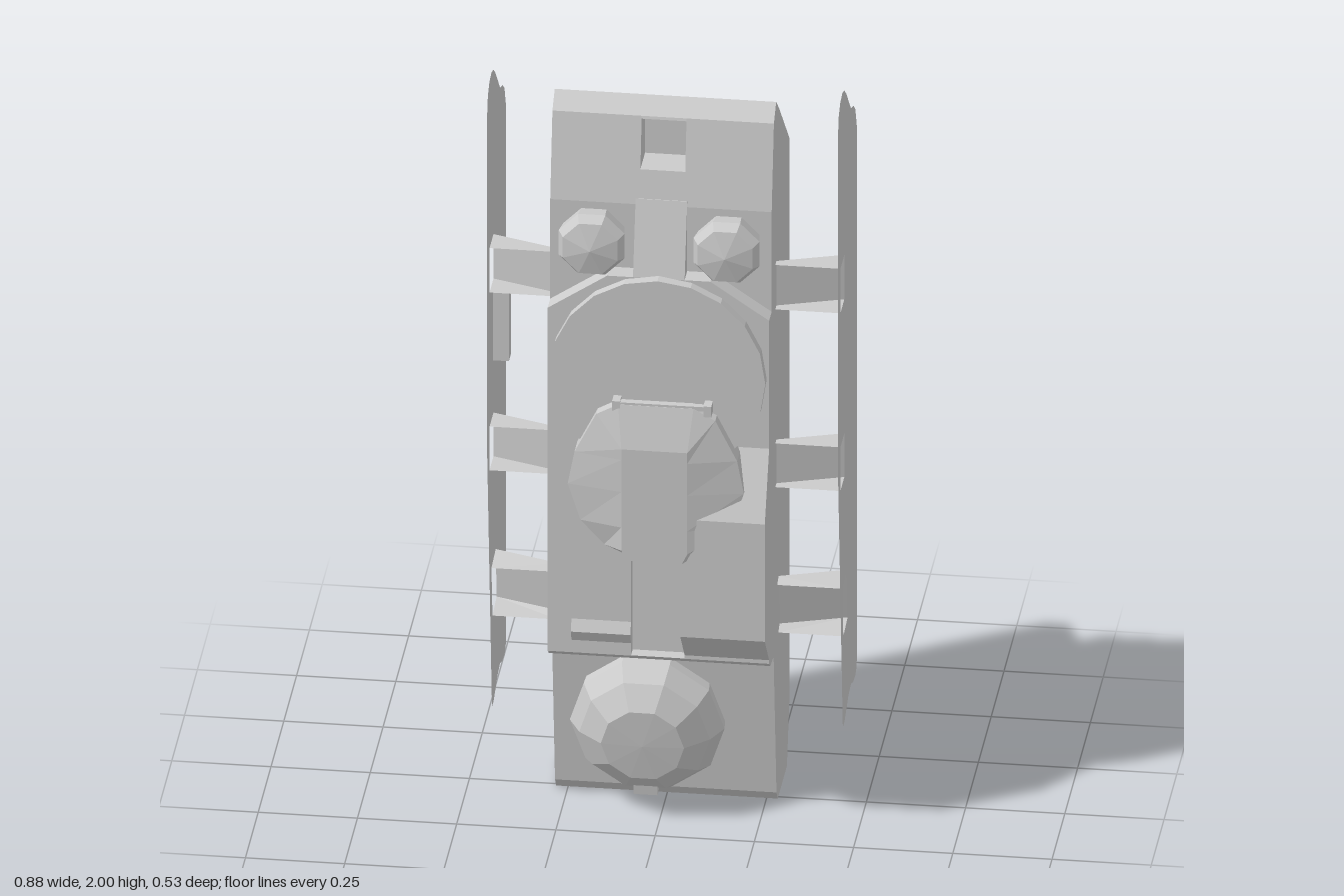
import * as THREE from 'three';

const mat = new THREE.MeshStandardMaterial({ color: 0xcccccc, flatShading: true, side: THREE.DoubleSide });

export function createModel() {
  const model = new THREE.Group();

  const add = (name, geometry, parent = model) => {
    const mesh = new THREE.Mesh(geometry, mat);
    mesh.name = name;
    parent.add(mesh);
    return mesh;
  };
  const shapeOf = pts => new THREE.Shape(pts.map(p => new THREE.Vector2(p[0], p[1])));
  // Side profile given as [z, y], extruded along x from x0 to x1
  const prism = (name, pts, x0, x1) =>
    add(name, new THREE.ExtrudeGeometry(shapeOf(pts.map(([z, y]) => [-z, y])), { depth: x1 - x0, bevelEnabled: false })
      .rotateY(Math.PI / 2).translate(x0, 0, 0));
  // Front outline given as [x, y], extruded from z0 to z1
  const slab = (name, pts, z0, z1) =>
    add(name, new THREE.ExtrudeGeometry(shapeOf(pts), { depth: z1 - z0, bevelEnabled: false }).translate(0, 0, z0));
  const box = (name, w, h, d, x, y, z) => add(name, new THREE.BoxGeometry(w, h, d).translate(x, y, z));
  // Flat quad from four corners
  const quad = (name, a, b, c, d) => {
    const g = new THREE.BufferGeometry();
    g.setAttribute('position', new THREE.Float32BufferAttribute([a, b, c, a, c, d].flat(), 3));
    g.computeVertexNormals();
    return add(name, g);
  };
  // Faceted dome whose axis points to +z
  const dome = (profile, sides) => new THREE.LatheGeometry(
    profile.map(([r, h]) => new THREE.Vector2(r, h)), sides, Math.PI / sides).rotateX(Math.PI / 2);

  // Hull in three slices, the middle one with a square pocket in the upper front
  const back = [[0.01, 0], [-0.17, 0], [-0.22, 0.17], [-0.22, 1.74], [-0.015, 1.93], [0.04, 1.975], [0.085, 1.937]];
  const front = [[0.128, 1.71], [0.128, 0.45], [0.09, 0.44], [0.035, 0.03]];
  const pocket = [[0.087, 1.93], [0.02, 1.93], [0.02, 1.8], [0.111, 1.8]];
  prism('hullRight', [...back, ...front], -0.28, -0.055);
  prism('hullCentre', [...back, ...pocket, ...front], -0.055, 0.058);
  prism('hullLeft', [...back, ...front], 0.058, 0.278);

  // Raised front plate with a channel running up from its lower edge
  slab('frontPlate', [[-0.28, 1.43], [-0.13, 1.53], [0.13, 1.53], [0.278, 1.43], [0.278, 0.465],
    [0.065, 0.465], [0.065, 0.85], [-0.07, 0.85], [-0.07, 0.465], [-0.28, 0.465]], 0.12, 0.178);
  prism('channelFloor', [[0.1, 0.85], [0.145, 0.85], [0.145, 0.465], [0.1, 0.465]], -0.07, 0.065);
  prism('plateLip', [[0.09, 0.44], [0.155, 0.447], [0.178, 0.466], [0.09, 0.466]], -0.28, 0.278);
  prism('plateLedge', [[0.17, 0.5], [0.178, 0.5], [0.192, 0.53], [0.178, 0.56], [0.17, 0.56]], -0.22, -0.07);
  prism('sideBlock', [[0.12, 1.07], [0.178, 1.07], [0.262, 0.9], [0.262, 0.57], [0.16, 0.455], [0.09, 0.445]], 0.065, 0.278);
  prism('upperRamp', [[0.1, 1.725], [0.127, 1.725], [0.178, 1.53], [0.1, 1.53]], -0.065, 0.065);

  // Round base under the turret
  add('turretRing', new THREE.CylinderGeometry(0.272, 0.272, 0.06, 20).rotateX(Math.PI / 2).translate(0, 1.265, 0.176));

  // Turret: outline rings, narrowing towards the front face
  const half = [[0.095, 1.2], [0.15, 1.17], [0.205, 1.06], [0.222, 0.97], [0.19, 0.87], [0.13, 0.805], [0.07, 0.778]];
  const outline = [...half, ...half.slice().reverse().map(([x, y]) => [-x, y])];
  const rings = [
    outline.map(([x, y]) => [x, y, 0.17]),
    outline.map(([x, y]) => [x, y, 0.237]),
    outline.map(([x, y]) => [THREE.MathUtils.clamp(x, -0.083, 0.083), Math.min(y, 1.09), 0.267]),
  ];
  const n = outline.length, tris = [];
  for (let i = 0; i < n; i++) {
    const j = (i + 1) % n;
    for (let r = 0; r < 2; r++) {
      const [a, b, c, d] = [rings[r][i], rings[r][j], rings[r + 1][j], rings[r + 1][i]];
      tris.push(a, c, b, a, d, c);
    }
    tris.push(rings[2][i], [0, 0.95, 0.267], rings[2][j]);
  }
  const turret = new THREE.BufferGeometry();
  turret.setAttribute('position', new THREE.Float32BufferAttribute(tris.flat(), 3));
  turret.computeVertexNormals();
  add('turret', turret);
  for (const s of [-1, 1]) box('turretPost', 0.02, 0.03, 0.035, s * 0.115 + 0.015, 1.195, 0.222);
  box('turretSlot', 0.21, 0.012, 0.016, 0.015, 1.2, 0.228);

  // Pair of small upper domes
  for (const s of [-1, 1]) {
    add('upperDome', dome([[0.08, -0.02], [0.09, 0.045], [0.075, 0.072], [0, 0.088]], 8)).position.set(s * 0.17, 1.613, 0.127);
  }

  // Lower dome, tilted to lie on the sloping nose
  const nose = new THREE.Group();
  nose.name = 'lowerDome';
  nose.position.set(-0.04, 0.237, 0.06);
  nose.rotation.x = 0.14;
  model.add(nose);
  add('domeShell', dome([[0.19, -0.02], [0.195, 0.035], [0.165, 0.085], [0.105, 0.13], [0, 0.135]], 10), nose);
  add('domeHatch', new THREE.BoxGeometry(0.06, 0.035, 0.06).translate(0, -0.16, 0.06), nose);

  // Thin side panels, struts and the pocket on the right panel
  const panel = [[0.105, 0.98], [0.105, 1.92], [0.09, 1.97], [0.06, 1.993], [0.02, 2], [-0.02, 1.988], [-0.06, 1.957],
    [-0.15, 1.87], [-0.2, 1.852], [-0.235, 1.825], [-0.265, 1.76], [-0.265, 0.27], [-0.258, 0.243], [-0.235, 0.232],
    [-0.19, 0.236], [-0.15, 0.252], [-0.1, 0.245], [-0.05, 0.222], [-0.02, 0.21], [0.01, 0.21]];
  // Strut openings as [z, y]: top front, top back, bottom back, bottom front
  const openings = [
    [[0.057, 1.525], [-0.02, 1.525], [-0.02, 1.4], [0.057, 1.4]],
    [[0.057, 1.023], [-0.02, 1.023], [-0.02, 0.9], [0.057, 0.9]],
    [[0.02, 0.606], [-0.063, 0.617], [-0.083, 0.473], [0, 0.462]],
  ];
  const recess = [[-0.01, 1.395], [-0.055, 1.395], [-0.055, 1.175], [-0.01, 1.175]];
  for (const s of [-1, 1]) {
    const X = s * 0.442, hullX = s * 0.278;
    const shape = shapeOf(panel.map(([z, y]) => [-z, y]));
    const holes = s < 0 ? [...openings, recess] : openings;
    shape.holes = holes.map(h => new THREE.Path(h.map(([z, y]) => new THREE.Vector2(-z, y))));
    add('sidePanel', new THREE.ShapeGeometry(shape).rotateY(Math.PI / 2).translate(X, 0, 0));

    // Each strut is a wedge-shaped bracket, open towards the front
    for (const o of openings) {
      const [tf, tb, bb, bf] = o.map(([z, y]) => [X, y, z]);
      const [htf, htb, hbb, hbf] = o.map(([z, y], i) => [hullX, y, z + (i === 1 || i === 2 ? 0.055 : 0)]);
      quad('strutTop', tf, tb, htb, htf);
      quad('strutBack', tb, bb, hbb, htb);
      quad('strutBottom', bb, bf, hbf, hbb);
    }
  }
  const outer = recess.map(([z, y]) => [-0.442, y, z]);
  const inner = recess.map(([z, y]) => [-0.402, y, z]);
  for (let i = 0; i < 4; i++) quad('panelPocketWall', outer[i], outer[(i + 1) % 4], inner[(i + 1) % 4], inner[i]);
  quad('panelPocketFloor', ...inner);

  return model;
}
